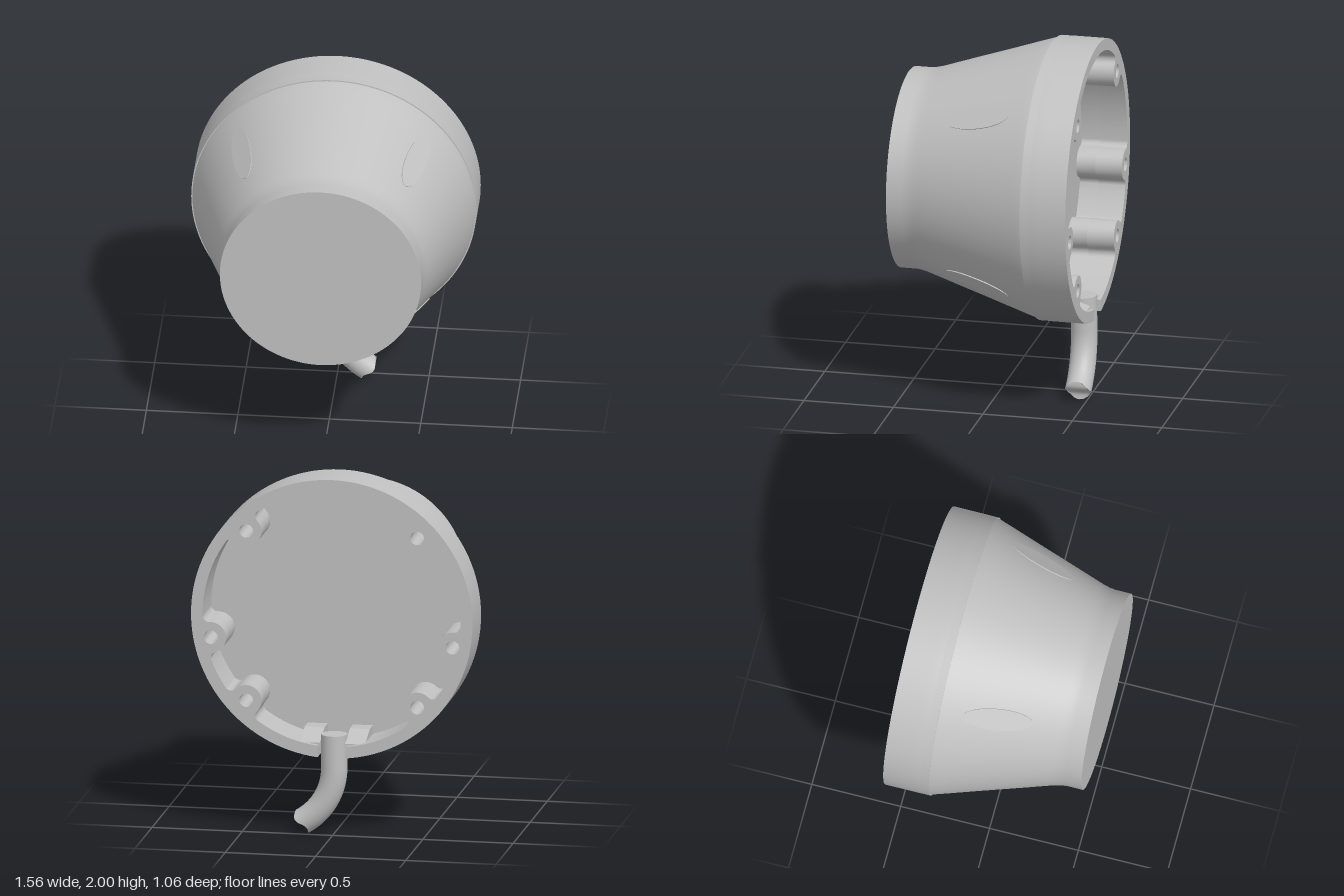
import * as THREE from 'three';
import { toCreasedNormals } from 'three/addons/utils/BufferGeometryUtils.js';

const R = 0.78, R_IN = 0.715, BACK = -0.525, FLOOR = -0.27, NOTCH_Z = -0.375, FRONT = 0.53;
const AXIS_Y = 1.22, TUBE_R = 0.072, NOTCH = 0.078;
const rad = THREE.MathUtils.degToRad;

// Screw bosses around the rear cavity: angle and distance from the axis
const BOSSES = [[-45, 0.67], [-11, 0.682], [45, 0.67], [135, 0.67], [191, 0.682], [225, 0.67]];
const BOSS_R = 0.085, HOLE_R = 0.038, FILLET = 0.035, WALL = 0.705;

const polar = (a, r) => new THREE.Vector2(r * Math.cos(a), r * Math.sin(a));

function arc(r, a0, a1) {
  const n = Math.max(1, Math.ceil((a1 - a0) / rad(3)));
  return Array.from({ length: n + 1 }, (_, i) => polar(a0 + (a1 - a0) * i / n, r));
}

// Cavity outline, counter-clockwise from start to end, bulging inwards at each boss
function cavityOutline(start, end) {
  const pts = [], reach = Math.asin((BOSS_R + FILLET) / R_IN) + 0.01;
  let from = start;
  for (const [deg, c] of BOSSES) {
    const a = rad(deg), local = [];
    pts.push(...arc(R_IN, from, a - reach));
    for (let i = 0; i <= 5; i++) {
      const b = i / 5 * Math.PI / 2;
      local.push([-BOSS_R - FILLET + FILLET * Math.sin(b), WALL - FILLET + FILLET * Math.cos(b)]);
    }
    for (let i = 1; i <= 6; i++) {
      const b = -Math.PI / 2 + i / 12 * Math.PI;
      local.push([BOSS_R * Math.sin(b), c - BOSS_R * Math.cos(b)]);
    }
    const mirrored = local.slice(0, -1).reverse().map(([u, v]) => [-u, v]);
    for (const [u, v] of [...local, ...mirrored]) {
      pts.push(new THREE.Vector2(v * Math.cos(a) - u * Math.sin(a), v * Math.sin(a) + u * Math.cos(a)));
    }
    from = a + reach;
  }
  pts.push(...arc(R_IN, from, end));
  return pts;
}

// Rear wall slice, closed or with the cable notch at the bottom
function wallGeometry(z0, z1, notched) {
  const ro = R - 0.0006, s = -Math.PI / 2, e = 1.5 * Math.PI;
  let shape;
  if (notched) {
    const no = Math.asin(NOTCH / ro), ni = Math.asin(NOTCH / R_IN);
    shape = new THREE.Shape([...arc(ro, s + no, e - no), ...cavityOutline(s + ni, e - ni).reverse()]);
  } else {
    shape = new THREE.Shape(arc(ro, s, e).slice(0, -1));
    shape.holes.push(new THREE.Path(cavityOutline(s, e).slice(0, -1)));
  }
  for (const [deg, c] of BOSSES) {
    const p = polar(rad(deg), c);
    shape.holes.push(new THREE.Path().absarc(p.x, p.y, HOLE_R, 0, Math.PI * 2, true));
  }
  const g = new THREE.ExtrudeGeometry(shape, { depth: z1 - z0, bevelEnabled: false, curveSegments: 12 });
  g.translate(0, 0, z0);
  return toCreasedNormals(g, 0.6);
}

// Cable path: straight drop, then a 60 degree bend towards +x
const BEND = 0.35, TOP = 0.56, BEND_Y = 0.37;
class CablePath extends THREE.Curve {
  getPoint(t, target = new THREE.Vector3()) {
    const straight = TOP - BEND_Y, s = t * (straight + BEND * Math.PI / 3);
    const z = -0.447 - 0.01 * t;
    if (s < straight) return target.set(0, TOP - s, z);
    const a = (s - straight) / BEND;
    return target.set(BEND * (1 - Math.cos(a)), BEND_Y - BEND * Math.sin(a), z);
  }
}

export function createModel() {
  const root = new THREE.Group();
  root.name = 'housing';
  const grey = new THREE.MeshStandardMaterial({ color: 0xc0c0c0 });
  grey.name = 'grey';
  const add = (parent, name, geometry) => {
    const m = new THREE.Mesh(geometry, grey);
    m.name = name;
    parent.add(m);
    return m;
  };

  const cup = new THREE.Group();
  cup.name = 'cup';
  cup.position.y = AXIS_Y;
  root.add(cup);

  // Outer skin, turned around z; the rear band leaves a gap for the cable
  const profile = [
    [R, NOTCH_Z], [R, -0.325], [0.777, -0.29], [0.77, -0.258], [0.759, -0.225], [0.748, -0.19],
    [0.685, 0], [0.62, 0.2], [0.572, 0.345], [0.561, 0.38], [0.554, 0.41], [0.55, 0.445], [0.55, FRONT],
  ].map(([r, z]) => new THREE.Vector2(r, z));
  add(cup, 'outerShell', new THREE.LatheGeometry(profile, 128).rotateX(Math.PI / 2));
  const gap = Math.asin(NOTCH / R);
  const band = [new THREE.Vector2(R, BACK), new THREE.Vector2(R, NOTCH_Z)];
  add(cup, 'rearBand', new THREE.LatheGeometry(band, 128, gap, Math.PI * 2 - 2 * gap).rotateX(Math.PI / 2));

  // Front face and cavity floor
  add(cup, 'frontFace', new THREE.CircleGeometry(0.55, 128)).position.z = FRONT;
  const floor = add(cup, 'cavityFloor', new THREE.CircleGeometry(0.75, 96));
  floor.rotation.y = Math.PI;
  floor.position.z = FLOOR;

  // Rear wall with screw bosses
  add(cup, 'innerWall', wallGeometry(NOTCH_Z, FLOOR, false));
  add(cup, 'rearRim', wallGeometry(BACK, NOTCH_Z, true));

  // Wedge that holds the cable inside the cavity
  const wedge = new THREE.Shape([[-0.265, -0.72], [-0.5, -0.72], [-0.5, -0.7], [-0.36, -0.645], [-0.265, -0.645]]
    .map(([z, y]) => new THREE.Vector2(z, y)));
  for (const side of [-1, 1]) {
    const g = new THREE.ExtrudeGeometry(wedge, { depth: 0.11, bevelEnabled: false });
    g.rotateY(-Math.PI / 2).translate(0.055 + side * 0.125, 0, 0);
    add(cup, 'cableWedge', g);
  }

  // Shallow flat patches on the tapered shell, one outside each corner boss
  const slope = Math.atan(0.326);
  for (const deg of [45, 135, 225, 315]) {
    const patch = new THREE.Group();
    patch.name = 'shellPatch';
    patch.rotation.z = rad(deg);
    const g = new THREE.CylinderGeometry(0.065, 0.065, 0.006, 40);
    g.scale(1, 1, 3).rotateZ(-Math.PI / 2).rotateY(-slope);
    g.translate(0.6725, 0, 0.04);
    add(patch, 'patchPlate', g);
    cup.add(patch);
  }

  // Cable with a wavy broken end
  const path = new CablePath();
  const end = path.getPoint(1);
  const along = new THREE.Vector3(Math.sin(Math.PI / 3), -0.5, 0);
  const across = new THREE.Vector3(0.5, Math.sin(Math.PI / 3), 0);
  const wave = (t) => 0.018 * Math.sin(Math.PI * t / TUBE_R);
  const segs = 40, sides = 32;
  const tube = new THREE.TubeGeometry(path, segs, TUBE_R, sides);
  const pos = tube.attributes.position, v = new THREE.Vector3();
  for (let i = segs * (sides + 1); i < pos.count; i++) {
    v.fromBufferAttribute(pos, i);
    v.addScaledVector(along, wave(v.clone().sub(end).dot(across)));
    pos.setXYZ(i, v.x, v.y, v.z);
  }
  add(root, 'cable', tube);

  const cap = new THREE.RingGeometry(0, TUBE_R, sides, 8);
  const cp = cap.attributes.position;
  for (let i = 0; i < cp.count; i++) cp.setZ(i, wave(cp.getX(i)));
  cap.computeVertexNormals();
  cap.applyMatrix4(new THREE.Matrix4().makeBasis(across, new THREE.Vector3(0, 0, 1), along).setPosition(end));
  add(root, 'cableBrokenEnd', cap);
  const top = new THREE.CircleGeometry(TUBE_R, sides).rotateX(-Math.PI / 2);
  add(root, 'cableTop', top).position.set(0, TOP, -0.447);

  return root;
}
